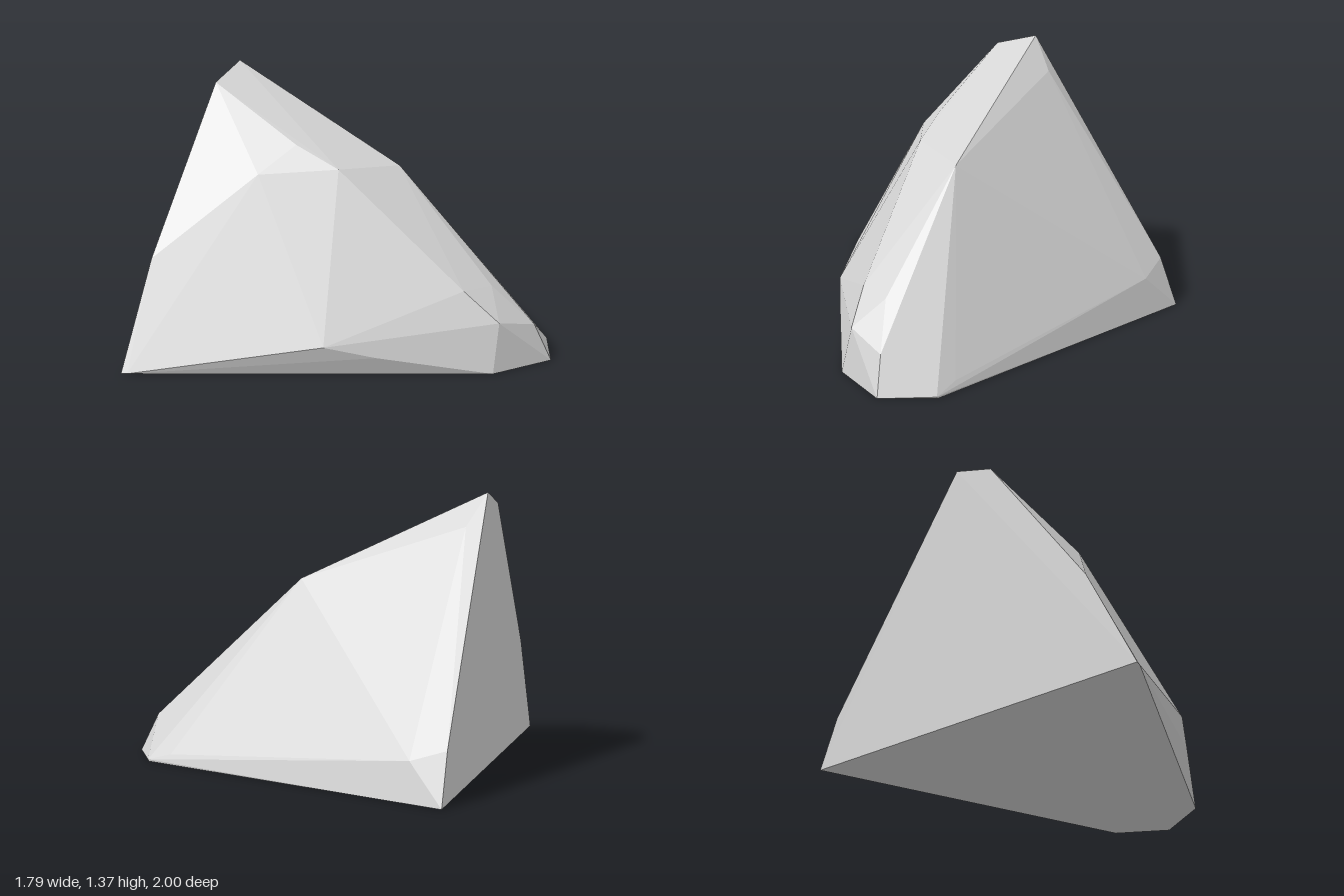
import * as THREE from 'three';
import { ConvexGeometry } from 'three/addons/geometries/ConvexGeometry.js';

export function createModel() {
  const stone = new THREE.MeshStandardMaterial({ color: 0xd4d4d4 });
  stone.name = 'pale grey stone';

  const corners = [
    // flat cut side
    [-0.9, 0, 1], [-0.9, 0.52, 0.71], [-0.9, 1.3, 0.1], [-0.9, 1.37, -0.13],
    [-0.9, 0.25, -0.9], [-0.9, 0, -1],
    // base
    [-0.87, 0, 0.99], [0.72, 0, 0.09], [0.895, 0, -0.22], [0.75, 0, -0.47],
    // front slope and overhang
    [0.01, 0.16, 0.55], [0.23, 0.1, 0.41], [-0.5, 0.92, 0.33],
    // upper ridges
    [-0.38, 1.05, 0.155], [-0.14, 0.95, 0.14], [0.04, 0.92, -0.17],
    // nose
    [0.54, 0.4, 0.07], [0.72, 0.25, 0.03], [0.61, 0.39, -0.1], [0.81, 0.19, -0.19],
    // back slope
    [0.755, 0.01, -0.47], [0.62, 0.05, -0.497], [-0.72, 0.19, -0.895], [-0.82, 1.21, -0.25],
  ];

  const rock = new THREE.Mesh(
    new ConvexGeometry(corners.map((p) => new THREE.Vector3(...p))), stone);
  rock.name = 'rock';

  const model = new THREE.Group();
  model.name = 'cutRock';
  model.add(rock);
  return model;
}
